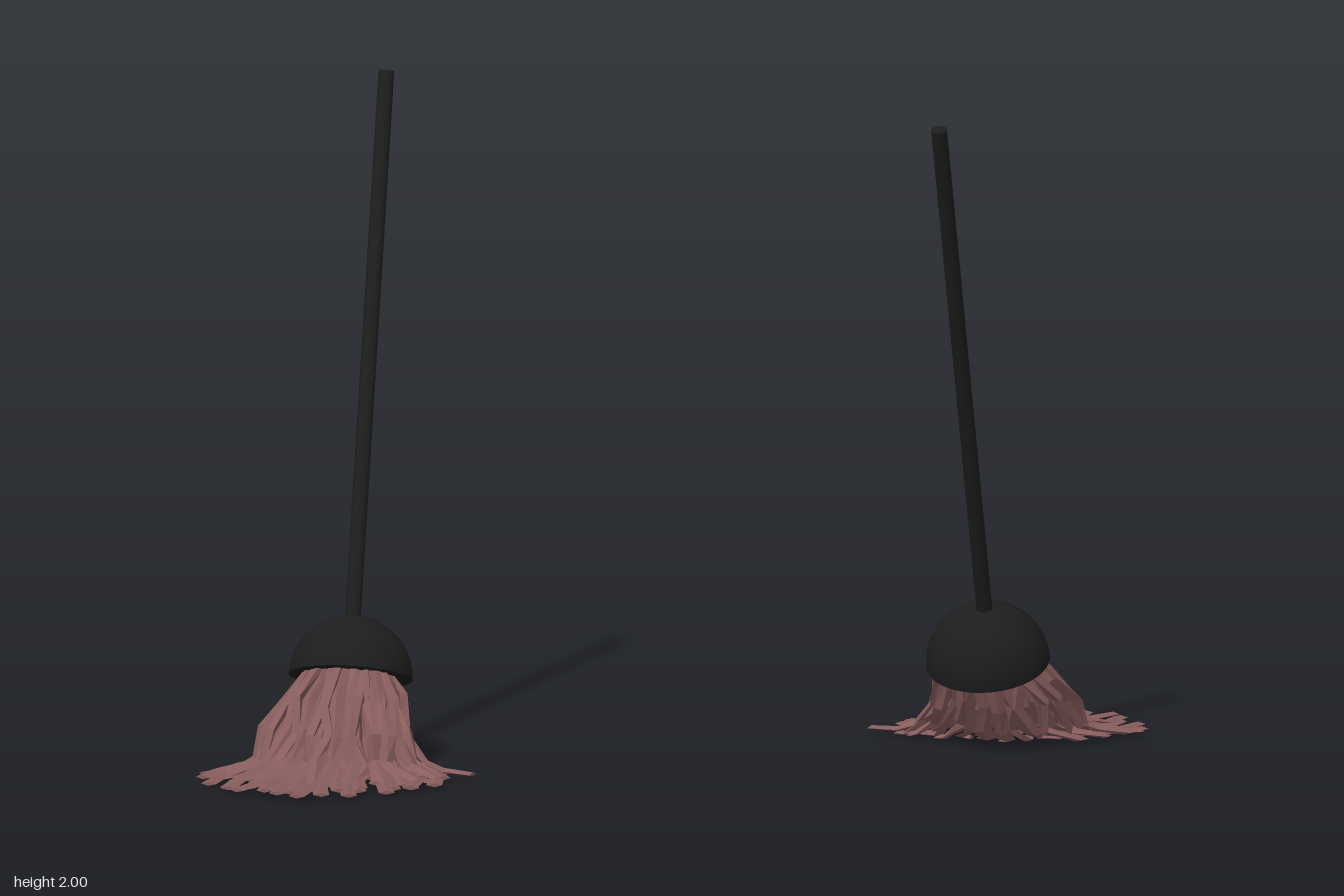
import * as THREE from 'three';
import { mergeGeometries } from 'three/addons/utils/BufferGeometryUtils.js';

const V = (x, y, z) => new THREE.Vector3(x, y, z);
const TILT = -0.36, CX = 0.017, HUB_Y = 0.263;

// Small seeded generator giving values in -1..1
function seeded(seed) {
  return () => {
    seed = (seed * 16807) % 2147483647;
    return (seed / 2147483647) * 2 - 1;
  };
}

// One faceted strand: a diamond section swept along a bent path, flattening towards the tip
function strandGeometry(path, twist) {
  const positions = [], index = [], last = path.length - 1;
  const halfWidth = [0.016, 0.021, 0.023, 0.024, 0.024, 0.024];
  const halfThick = [0.013, 0.016, 0.015, 0.012, 0.008, 0.006];

  path.forEach((p, i) => {
    const t = path[Math.min(i + 1, last)].clone().sub(path[Math.max(i - 1, 0)]).normalize();
    const side = V(t.z, 0, -t.x).normalize();
    const n = t.clone().cross(side).normalize();
    const w = n.clone().cross(t);
    const angle = twist * Math.max(0, 1 - i / 4);
    w.applyAxisAngle(t, angle).multiplyScalar(halfWidth[i]);
    n.applyAxisAngle(t, angle).multiplyScalar(halfThick[i]);
    for (const [a, b] of [[1, 0], [0, 1], [-1, 0], [0, -1]]) {
      const q = p.clone().addScaledVector(w, a).addScaledVector(n, b);
      positions.push(q.x, Math.max(q.y, 0), q.z);
    }
  });
  for (let i = 0; i < last; i++) {
    for (let j = 0; j < 4; j++) {
      const a = i * 4 + j, b = i * 4 + (j + 1) % 4;
      index.push(a, b, b + 4, a, b + 4, a + 4);
    }
  }
  const e = last * 4;
  index.push(0, 3, 2, 0, 2, 1, e, e + 1, e + 2, e, e + 2, e + 3);
  const g = new THREE.BufferGeometry();
  g.setAttribute('position', new THREE.Float32BufferAttribute(positions, 3));
  g.setIndex(index);
  g.computeVertexNormals();
  return g;
}

// Bundle of strands leaving the head and fanning out forwards on the floor
function buildStrands() {
  const rnd = seeded(4217), parts = [], count = 76;
  for (let k = 0; k < count; k++) {
    const r = Math.pow((k + 0.5) / count, 0.42), a = k * 2.39996;
    const u = r * Math.cos(a), v = r * Math.sin(a);
    // a shared sideways sway keeps each strand smooth but wavy
    const sway = 0.016 * rnd();
    const point = (x, y, z, swing, j) =>
      V(CX - 0.008 + x * u + swing * sway + j * rnd(), y, z + j * rnd());
    const rootZ = 0.045 + 0.08 * v;
    const floor = 0.011 + 0.005 * rnd();
    const path = [
      V(CX + 0.125 * u, HUB_Y + 0.376 * rootZ + 0.006, rootZ),
      point(0.185, 0.215 + 0.018 * rnd(), 0.09 + 0.12 * v, 1, 0.012),
      point(0.215, 0.125 + 0.022 * rnd(), 0.15 + 0.14 * v, -1, 0.014),
      point(0.265, 0.045 + 0.012 * rnd(), 0.2 + 0.135 * v - 0.02 * u, 1, 0.014),
      point(0.355, floor + 0.004, 0.29 + 0.21 * v - 0.05 * u * u - 0.04 * u, -1, 0.016),
      point(0.41, floor, 0.375 + 0.28 * v - 0.08 * u * u - 0.07 * u, 1, 0.022),
    ];
    parts.push(strandGeometry(path, rnd() * 1.2));
  }
  return mergeGeometries(parts);
}

export function createModel() {
  const model = new THREE.Group();
  model.name = 'mop';
  const black = new THREE.MeshStandardMaterial({ color: 0x1d1d1d });
  black.name = 'blackPlastic';
  const pink = new THREE.MeshStandardMaterial({ color: 0x885d5d, flatShading: true, side: THREE.DoubleSide });
  pink.name = 'dustyPinkYarn';

  // Leaning head and handle share one tilted frame
  const tilted = new THREE.Group();
  tilted.name = 'headAndHandle';
  tilted.position.set(CX, HUB_Y, 0);
  tilted.rotation.x = TILT;
  model.add(tilted);

  const add = (parent, name, geometry, material) => {
    const m = new THREE.Mesh(geometry, material);
    m.name = name;
    parent.add(m);
    return m;
  };

  add(tilted, 'domeHead', new THREE.SphereGeometry(0.186, 40, 16, 0, Math.PI * 2, 0, Math.PI / 2), black);
  add(tilted, 'domeBase', new THREE.CircleGeometry(0.186, 40).rotateX(Math.PI / 2), black);

  const start = 0.15, end = 1.846;
  const handle = add(tilted, 'handle', new THREE.CylinderGeometry(0.024, 0.024, end - start, 16), black);
  handle.position.set(-0.004, (start + end) / 2, 0);

  add(model, 'strands', buildStrands(), pink);
  return model;
}
